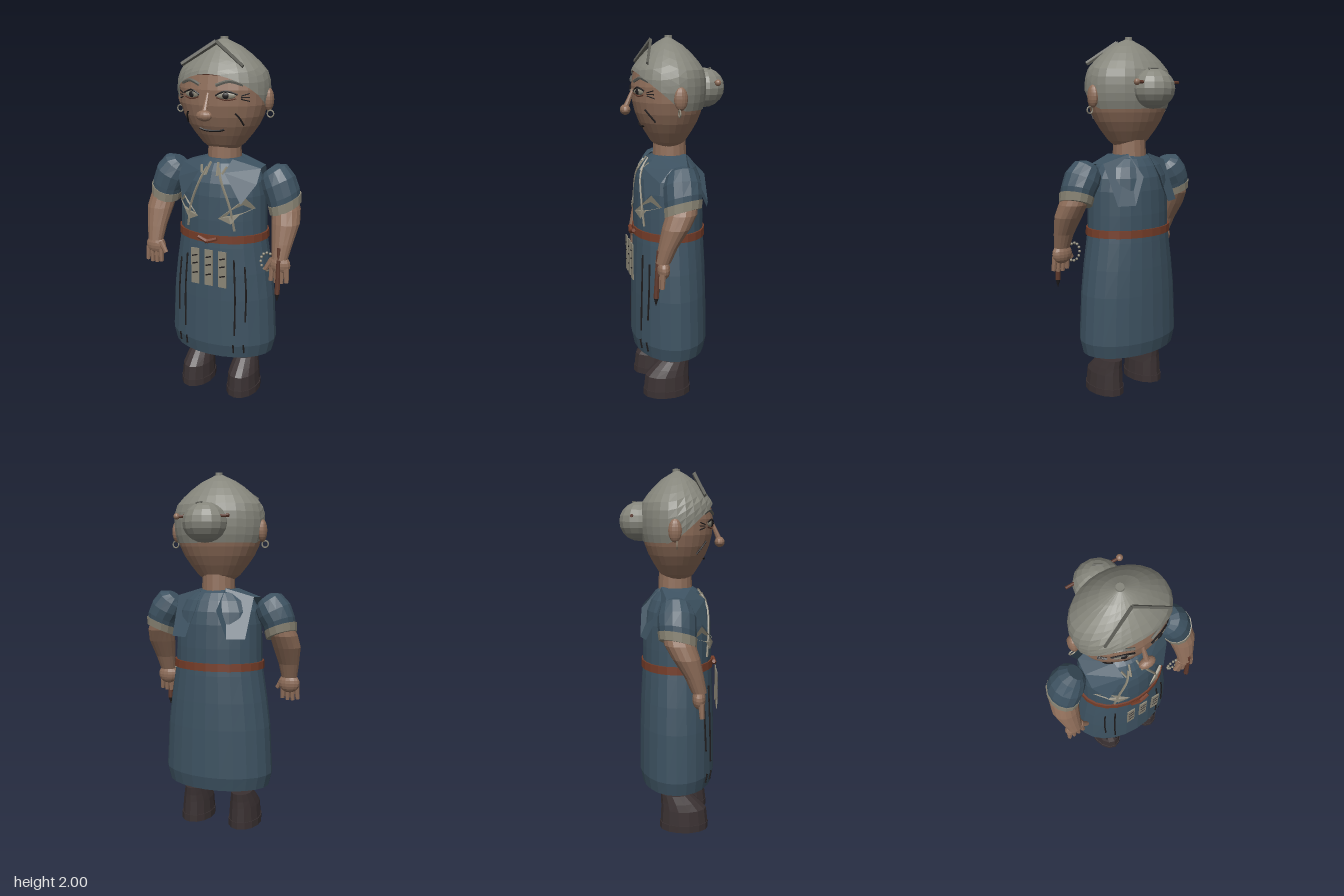
import * as THREE from 'three';

const mat = (name, color, side = THREE.FrontSide) =>
  Object.assign(new THREE.MeshStandardMaterial({ color, flatShading: true, side }), { name });
const M = {
  skin: mat('skin', 0x8f6e5a),
  hair: mat('grey hair', 0x85857b, THREE.DoubleSide),
  hairDark: mat('dark grey', 0x66665f, THREE.DoubleSide),
  dress: mat('blue cloth', 0x3d5261, THREE.DoubleSide),
  trim: mat('beige trim', 0x8b8676, THREE.DoubleSide),
  belt: mat('red leather', 0x743c28),
  shoe: mat('dark leather', 0x3a3132),
  wood: mat('brown wood', 0x5f392c),
  ink: mat('dark line', 0x1f1c1d),
};

// Closed skin over rings: fn(t, angle) gives [x, y, z]; t runs bottom to top
function loft(n, seg, fn) {
  const pos = [], idx = [];
  for (let i = 0; i <= n; i++)
    for (let j = 0; j <= seg; j++) pos.push(...fn(i, (j / seg) * Math.PI * 2));
  for (let i = 0; i < n; i++)
    for (let j = 0; j < seg; j++) {
      const a = i * (seg + 1) + j, d = a + seg + 1;
      idx.push(a, a + 1, d + 1, a, d + 1, d);
    }
  const g = new THREE.BufferGeometry();
  g.setAttribute('position', new THREE.Float32BufferAttribute(pos, 3));
  g.setIndex(idx);
  g.computeVertexNormals();
  return g;
}

// Elliptical rings [y, rx, rz, cx, cz, tiltX, tiltZ], capped at both ends
function rings(rows, seg, s = 1) {
  const all = [[...rows[0]], ...rows, [...rows[rows.length - 1]]];
  for (const r of [all[0], all[all.length - 1]]) r[1] = r[2] = r[5] = r[6] = 0;
  return loft(all.length - 1, seg, (i, a) => {
    const [y, rx, rz, cx = 0, cz = 0, tx = 0, tz = 0] = all[i];
    const sn = Math.sin(a), cs = Math.cos(a);
    return [cx * s + rx * sn, y + tx * s * sn + tz * cs, cz + rz * cs];
  });
}

// Radii of a ring profile at height y
function radii(rows, y) {
  let i = 0;
  while (i < rows.length - 2 && rows[i + 1][0] < y) i++;
  const p = rows[i], q = rows[i + 1];
  const t = THREE.MathUtils.clamp((y - p[0]) / (q[0] - p[0]), 0, 1);
  return [p[1] + (q[1] - p[1]) * t, p[2] + (q[2] - p[2]) * t];
}
const CZ = 0.025;
const ring = (ratio) => ([y, r]) => [y, r, r * ratio, 0, CZ];

const HEAD = [[1.415, 0.08], [1.445, 0.12], [1.5, 0.165], [1.55, 0.2], [1.6, 0.225], [1.66, 0.243],
  [1.74, 0.248], [1.82, 0.23], [1.88, 0.17], [1.93, 0.11]].map(ring(0.785));
const HAIR = [[1.6, 0.232], [1.66, 0.251], [1.72, 0.26], [1.78, 0.256], [1.83, 0.24], [1.88, 0.192],
  [1.93, 0.132], [1.965, 0.075], [1.99, 0.015]].map(ring(0.79));
const BODY = [[0.255, 0.3, 0.2], [0.33, 0.318, 0.215], [0.6, 0.303, 0.21], [0.75, 0.284, 0.205],
  [0.9, 0.26, 0.197], [0.95, 0.252, 0.193], [1.05, 0.25, 0.193], [1.18, 0.247, 0.187],
  [1.25, 0.235, 0.175], [1.31, 0.2, 0.15], [1.35, 0.15, 0.12], [1.37, 0.1, 0.09]]
  .map(([y, a, b]) => [y, a, b, 0, CZ]);

// Point on the front of a profile
function onFront(rows, x, y, lift = 0.004) {
  const [rx, rz] = radii(rows, y);
  return new THREE.Vector3(x, y, CZ + lift + rz * Math.sqrt(Math.max(0, 1 - (x / rx) ** 2)));
}

export function createModel() {
  const root = new THREE.Group();
  const V = (x, y, z) => new THREE.Vector3(x, y, z);
  const add = (name, geo, m, x = 0, y = 0, z = 0) => {
    const mesh = new THREE.Mesh(geo, m);
    mesh.name = name;
    mesh.position.set(x, y, z);
    root.add(mesh);
    return mesh;
  };
  const ball = (name, m, x, y, z, rx, ry = rx, rz = rx) =>
    add(name, new THREE.SphereGeometry(1, 14, 10).scale(rx, ry, rz), m, x, y, z);
  const rod = (name, m, a, b, r0, r1 = r0, seg = 8) => {
    const mesh = add(name, new THREE.CylinderGeometry(r1, r0, a.distanceTo(b), seg), m);
    mesh.position.lerpVectors(a, b, 0.5);
    mesh.quaternion.setFromUnitVectors(V(0, 1, 0), b.clone().sub(a).normalize());
    return mesh;
  };
  // Thin line drawn on the front of the head or the dress
  const stroke = (name, m, rows, pts, r, s = 1) => add(name, new THREE.TubeGeometry(
    new THREE.CatmullRomCurve3(pts.map(([x, y]) => onFront(rows, x * s, y))), 14, r, 5), m);
  const sheet = (name, m, pts) => {
    const g = new THREE.BufferGeometry().setFromPoints(pts);
    g.setIndex(pts.slice(2).flatMap((_, i) => [0, i + 1, i + 2]));
    g.computeVertexNormals();
    return add(name, g, m);
  };

  // Head, neck and hair with a raised front hairline
  add('head', rings(HEAD, 28), M.skin);
  add('neck', new THREE.CylinderGeometry(0.09, 0.095, 0.12, 16), M.skin, 0, 1.39, 0.015);
  add('hair', loft(9, 28, (i, a) => {
    const low = 1.62 + 0.2 * Math.max(0, Math.cos(a) + 0.1) / 1.1;
    const y = low + (1.99 - low) * (i / 9);
    const [rx, rz] = radii(HAIR, y);
    return [rx * Math.sin(a), y, CZ + rz * Math.cos(a)];
  }), M.hair);
  add('crownKnot', new THREE.CylinderGeometry(0.02, 0.02, 0.02, 12), M.hair, 0, 1.99, 0.02);

  // Bun with its hair stick
  ball('bun', M.hair, 0, 1.725, -0.178, 0.122, 0.106, 0.112);
  rod('hairStick', M.wood, V(-0.15, 1.757, -0.213), V(0.14, 1.757, -0.213), 0.008);
  ball('hairStickBead', M.skin, 0.148, 1.757, -0.213, 0.017);

  // Nose and mouth
  rod('noseBridge', M.skin, V(0, 1.73, 0.21), V(0, 1.62, 0.258), 0.008, 0.016);
  ball('nose', M.skin, 0, 1.615, 0.258, 0.045, 0.028, 0.028);
  stroke('mouth', M.ink, HEAD, [[-0.072, 1.537], [-0.04, 1.528], [0.04, 1.528], [0.072, 1.537]], 0.006);
  stroke('foreheadLine', M.wood, HEAD, [[-0.07, 1.815], [0, 1.818], [0.07, 1.815]], 0.004);

  for (const s of [1, -1]) {
    // Face details
    const e = onFront(HEAD, 0.097 * s, 1.715, 0);
    ball('eye', M.trim, e.x, e.y, e.z, 0.05, 0.018, 0.009).rotation.y = 0.33 * s;
    ball('iris', M.ink, e.x, e.y, e.z + 0.006, 0.018, 0.016, 0.007).rotation.y = 0.33 * s;
    stroke('upperLid', M.ink, HEAD, [[0.045, 1.715], [0.095, 1.737], [0.152, 1.72]], 0.005, s);
    stroke('lowerLid', M.wood, HEAD, [[0.05, 1.705], [0.1, 1.692], [0.145, 1.7]], 0.004, s);
    stroke('brow', M.hairDark, HEAD, [[0.045, 1.765], [0.11, 1.785], [0.172, 1.768]], 0.009, s);
    stroke('cheekFold', M.ink, HEAD, [[0.135, 1.625], [0.152, 1.6], [0.163, 1.56]], 0.005, -s);
    for (const k of [-1, 0, 1])
      stroke('eyeWrinkle', M.ink, HEAD, [[0.165, 1.705 + k * 0.008], [0.2, 1.705 + k * 0.02]], 0.003, s);
    ball('ear', M.skin, 0.255 * s, 1.685, 0.015, 0.025, 0.06, 0.036);
    add('earring', new THREE.TorusGeometry(0.018, 0.004, 6, 14), M.trim, 0.268 * s, 1.613, 0.025);

    // Crossed front strands and bun strands
    rod('frontStrand', M.hairDark, V(0, 1.975, 0.115), V(0.175, 1.86, 0.17), 0.014, 0.012, 4);
    root.children.at(-1).scale.z = 0.6;
    if (s < 0) rod('frontStrand', M.hairDark, V(0, 1.975, 0.115), V(-0.175, 1.86, 0.17), 0.014, 0.012, 4).scale.z = 0.6;
    rod('bunStrand', M.hairDark, V(0, 1.828, -0.215), V(0.045, 1.826, -0.19), 0.005);
    root.children.at(-1).visible = true;

    // Sleeve, cuff and arm
    add('sleeve', rings([[1.13, 0.08, 0.094, 0.365, 0.03, 0.03, -0.02], [1.19, 0.085, 0.1, 0.352, 0.027, 0.035, -0.015],
      [1.25, 0.085, 0.1, 0.325, 0.025, 0.045], [1.3, 0.068, 0.08, 0.292, 0.02, 0.05],
      [1.32, 0.035, 0.05, 0.27, 0.02, 0.03]], 14, s), M.dress);
    add('cuff', rings([[1.12, 0.083, 0.097, 0.367, 0.03, 0.03, -0.02],
      [1.165, 0.088, 0.102, 0.36, 0.028, 0.033, -0.017]], 14, s), M.trim);
    add('arm', rings([[0.87, 0.045, 0.04, 0.383, 0.14], [0.95, 0.058, 0.05, 0.386, 0.115], [1.05, 0.077, 0.072, 0.386, 0.072],
      [1.12, 0.076, 0.08, 0.376, 0.04], [1.17, 0.07, 0.075, 0.362, 0.028]], 16, s), M.skin);

    // Hand with four fingers and a thumb
    ball('palm', M.skin, 0.382 * s, 0.835, 0.14, 0.062, 0.055, 0.035);
    for (let i = 0; i < 4; i++)
      rod('finger', M.skin, V((0.345 + i * 0.026) * s, 0.82, 0.15),
        V((0.34 + i * 0.03) * s, 0.73 + Math.abs(i - 1.5) * 0.008, 0.155), 0.017, 0.012);
    rod('thumb', M.skin, V(0.345 * s, 0.86, 0.15), V(0.308 * s, 0.8, 0.155), 0.018, 0.013);

    // Collar flaps, front and back
    const F = (x, y) => onFront(BODY, x * s, y, 0.014);
    sheet('frontFlap', M.dress, [F(0.075, 1.31), V(0.085 * s, 1.37, 0.1), V(0.235 * s, 1.325, 0.06),
      V(0.235 * s, 1.25, 0.12), V(0.175 * s, 1.15, 0.19)]);
    sheet('shoulderFlap', M.dress, [V(0.085 * s, 1.37, 0.1), V(0.235 * s, 1.325, 0.06),
      V(0.225 * s, 1.33, -0.03), V(0.07 * s, 1.375, -0.06)]);
    sheet('backFlap', M.dress, [V(0.07 * s, 1.375, -0.06), V(0.225 * s, 1.33, -0.03),
      V(0.215 * s, 1.11, -0.14), V(0.12 * s, 1.11, -0.175), V(0.06 * s, 1.26, -0.17)]);

    // Neck ties with ribbon tails
    stroke('tie', M.trim, BODY, [[0.035, 1.33], [0.06, 1.27], [0.115, 1.13], [0.14, 1.0]], 0.007, s);
    stroke('tieEnd', M.trim, BODY, [[0.022, 1.355], [0.035, 1.29]], 0.007, s);
    stroke('tieEnd', M.trim, BODY, [[0.075, 1.335], [0.06, 1.3]], 0.007, s);
    sheet('ribbonTail', M.trim, [[0.06, 1.07], [0.14, 1.13], [0.19, 1.18], [0.23, 1.12], [0.165, 1.09], [0.125, 1.04], [0.115, 1.08]]
      .map(([x, y]) => F(x, y)));

    // Skirt pleats
    for (const [x, top, low] of [[0.142, 0.84, 0.4], [0.195, 0.8, 0.48]]) {
      stroke('pleat', M.ink, BODY, [[x, top], [x + 0.012, (top + low) / 2], [x + 0.012, low]], 0.005, s);
      stroke('pleatHem', M.ink, BODY, [[x + 0.005, 0.345], [x + 0.005, 0.29]], 0.005, s);
    }

    // Shoe with sole
    add('shoe', rings([[0.035, 0.088, 0.135, 0.148, 0.068], [0.12, 0.082, 0.128, 0.147, 0.065],
      [0.16, 0.073, 0.108, 0.146, 0.046], [0.205, 0.06, 0.085, 0.145, 0.02]], 14, s), M.shoe);
    add('sole', rings([[0, 0.092, 0.138, 0.148, 0.067], [0.04, 0.092, 0.138, 0.148, 0.067]], 14, s), M.shoe);
  }

  // Dress and belt
  add('dress', rings(BODY, 24), M.dress);
  add('belt', rings([[0.928, 0.264, 0.203, 0, CZ], [0.97, 0.262, 0.201, 0, CZ]], 24), M.belt);
  for (const s of [1, -1])
    rod('buckle', M.belt, V(0, 0.938, 0.238), V(0.055 * s, 0.957, 0.232), 0.013, 0.011, 6);

  // Hanging tags with marks
  for (const x of [-0.067, 0.015, 0.098]) {
    add('tag', new THREE.BoxGeometry(0.048, 0.205, 0.006), M.trim, x, 0.793, 0.25);
    for (const y of [0.855, 0.81, 0.755])
      add('tagMark', new THREE.BoxGeometry(0.034, 0.007, 0.004), M.ink, x, y, 0.254).rotation.z = 0.3;
  }

  // Pen held in the left hand, and wrist beads
  rod('pen', M.wood, V(0.387, 0.68, 0.178), V(0.387, 0.935, 0.165), 0.015, 0.01);
  rod('penTip', M.ink, V(0.387, 0.64, 0.18), V(0.387, 0.682, 0.178), 0.002, 0.014);
  for (let i = 0; i < 9; i++) {
    const a = 1.2 + i * 0.5;
    ball('bead', M.trim, 0.31 + 0.04 * Math.cos(a), 0.835 + 0.05 * Math.sin(a), 0.13, 0.008);
  }
  return root;
}
